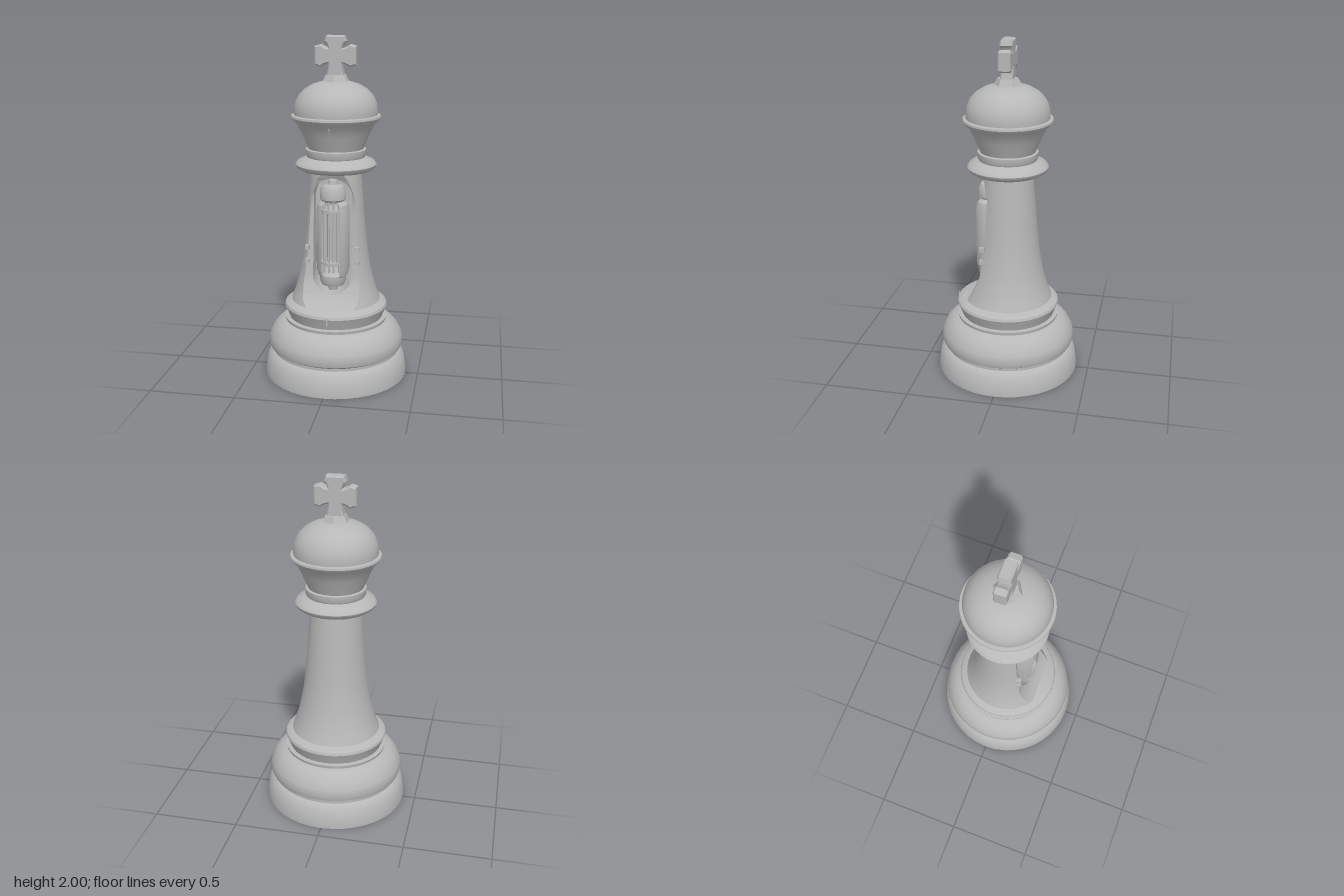
import * as THREE from 'three';
import { toCreasedNormals } from 'three/addons/utils/BufferGeometryUtils.js';

const grey = new THREE.MeshStandardMaterial({ color: 0xb8b8b8, side: THREE.DoubleSide });
grey.name = 'stone grey';

function add(parent, name, geo, x = 0, y = 0, z = 0) {
  const m = new THREE.Mesh(geo, grey);
  m.name = name;
  m.position.set(x, y, z);
  parent.add(m);
  return m;
}

// points are [radius, height], bottom to top
function lathe(points, segments = 40, crease = 0.6, start = 0, length = Math.PI * 2) {
  const g = new THREE.LatheGeometry(points.map(p => new THREE.Vector2(p[0], p[1])), segments, start, length);
  return toCreasedNormals(g, crease);
}

// piecewise linear lookup in [y, value] pairs
function lookup(table, y) {
  for (let i = 1; i < table.length; i++) {
    const [y0, a] = table[i - 1], [y1, b] = table[i];
    if (y <= y1) return a + (b - a) * Math.max(0, (y - y0) / (y1 - y0));
  }
  return table[table.length - 1][1];
}

const RADIUS = [[0.45, 0.267], [0.53, 0.238], [0.6, 0.218], [0.7, 0.197], [0.8, 0.184], [0.9, 0.174], [1.0, 0.166], [1.1, 0.158], [1.25, 0.146]];
const PANEL = [[0.45, 0.13], [0.5, 0.165], [0.6, 0.165], [0.75, 0.145], [0.9, 0.138], [1.1, 0.125], [1.2, 0.09], [1.25, 0.05]];

// Tapered shaft with a flattened front panel and a stadium-shaped niche
function shaftGeometry() {
  const half = 0.113, bottom = 0.53, top = 1.21, floorZ = 0.03, around = 36;
  const rows = [[0.45, 0, false], [0.49, 0, false], [bottom, 0, false]];
  for (let i = 0; i <= 6; i++) {
    const a = i / 6 * Math.PI / 2;
    rows.push([bottom + half * (1 - Math.cos(a)), half * Math.sin(a), true]);
  }
  for (const y of [0.72, 0.8, 0.9, 1.0]) rows.push([y, half, true]);
  for (let i = 6; i >= 0; i--) {
    const a = i / 6 * Math.PI / 2;
    rows.push([top - half * (1 - Math.cos(a)), half * Math.sin(a), true]);
  }
  rows.push([top, 0, false], [1.25, 0, false]);

  const pos = [], index = [], n = around + 5;
  for (const [y, w, open] of rows) {
    const r = lookup(RADIUS, y), edge = Math.asin(lookup(PANEL, y) / r);
    for (let i = 0; i <= around; i++) {
      const t = edge + (Math.PI * 2 - edge * 2) * i / around;
      pos.push(r * Math.sin(t), y, r * Math.cos(t));
    }
    const panelZ = r * Math.cos(edge) - 0.004, back = open ? floorZ : panelZ;
    pos.push(-w, y, panelZ, -w, y, back, w, y, back, w, y, panelZ);
  }
  for (let j = 0; j < rows.length - 1; j++) {
    for (let i = 0; i < n; i++) {
      const a = j * n + i, b = j * n + (i + 1) % n;
      index.push(a, b, b + n, a, b + n, a + n);
    }
  }
  const g = new THREE.BufferGeometry();
  g.setAttribute('position', new THREE.Float32BufferAttribute(pos, 3));
  g.setIndex(index);
  return toCreasedNormals(g, 0.5);
}

// Cross with arms that widen towards their ends
function crossGeometry() {
  const s = new THREE.Shape();
  const b = 0.008;
  s.moveTo(-0.045, -0.13);
  s.lineTo(0.045, -0.13);
  s.quadraticCurveTo(0.028, -0.07, 0.032, -0.035);
  s.quadraticCurveTo(0.06, -0.035, 0.085, -0.055);
  s.lineTo(0.11, -0.045);
  s.lineTo(0.11, 0.045);
  s.lineTo(0.085, 0.052);
  s.quadraticCurveTo(0.06, 0.032, 0.032, 0.032);
  s.quadraticCurveTo(0.032, 0.06, 0.052, 0.08);
  s.lineTo(0.045, 0.102);
  s.lineTo(-0.045, 0.102);
  s.lineTo(-0.052, 0.08);
  s.quadraticCurveTo(-0.032, 0.06, -0.032, 0.032);
  s.quadraticCurveTo(-0.06, 0.032, -0.085, 0.052);
  s.lineTo(-0.11, 0.045);
  s.lineTo(-0.11, -0.045);
  s.lineTo(-0.085, -0.055);
  s.quadraticCurveTo(-0.06, -0.035, -0.032, -0.035);
  s.quadraticCurveTo(-0.028, -0.07, -0.045, -0.13);
  const g = new THREE.ExtrudeGeometry(s, { depth: 0.056, bevelThickness: b, bevelSize: b, bevelSegments: 1, curveSegments: 5 });
  g.translate(0, 0, -0.028);
  return toCreasedNormals(g, 0.5);
}

// Vacuum tube standing in the niche, open at the front to show its rods
function makeTube() {
  const tube = new THREE.Group();
  tube.name = 'tube';
  tube.position.z = 0.1;
  const gap = 0.6;
  add(tube, 'tubeShell', lathe([[0.06, 0.62], [0.085, 0.64], [0.095, 0.68], [0.095, 1.02], [0.085, 1.06], [0.06, 1.08]],
    24, 0.6, gap, Math.PI * 2 - gap * 2));
  add(tube, 'lowerCap', lathe([[0, 0.54], [0.025, 0.545], [0.03, 0.57], [0.065, 0.58], [0.076, 0.605], [0.076, 0.64], [0.06, 0.66], [0, 0.66]], 20));
  add(tube, 'upperCap', lathe([[0, 1.075], [0.06, 1.075], [0.074, 1.09], [0.074, 1.14], [0.06, 1.165], [0.03, 1.175], [0.025, 1.2], [0, 1.205]], 20));
  for (const y of [0.715, 1.025]) add(tube, 'spacerDisc', new THREE.CylinderGeometry(0.068, 0.068, 0.016, 20), 0, y, 0.01);
  for (const side of [-1, 1]) {
    add(tube, 'innerRod', new THREE.CylinderGeometry(0.013, 0.013, 0.3, 10), side * 0.038, 0.87, 0.045);
    add(tube, 'thinWire', new THREE.CylinderGeometry(0.006, 0.006, 0.42, 8), side * 0.014, 0.87, 0.06);
    add(tube, 'supportPin', new THREE.CylinderGeometry(0.008, 0.008, 0.08, 8), side * 0.045, 0.69, 0.04);
    add(tube, 'supportPin', new THREE.CylinderGeometry(0.008, 0.008, 0.08, 8), side * 0.045, 1.05, 0.04);
  }
  add(tube, 'corePlate', new THREE.BoxGeometry(0.06, 0.3, 0.03), 0, 0.87, 0.01);
  return tube;
}

export function createModel() {
  const model = new THREE.Group();
  model.name = 'chessKing';

  add(model, 'base', lathe([[0, 0], [0.425, 0], [0.425, 0.025], [0.41, 0.11], [0.385, 0.14], [0.375, 0.145], [0.375, 0.162],
    [0.394, 0.175], [0.402, 0.205], [0.395, 0.245], [0.37, 0.29], [0.335, 0.325], [0.3, 0.337], [0.303, 0.355], [0.275, 0.358], [0, 0.358]]));
  add(model, 'shaftFlange', lathe([[0, 0.35], [0.275, 0.35], [0.282, 0.37], [0.305, 0.425], [0.3, 0.44], [0.265, 0.462], [0, 0.462]]));
  add(model, 'shaft', shaftGeometry());
  model.add(makeTube());

  add(model, 'collarRing', lathe([[0, 1.238], [0.15, 1.238], [0.205, 1.243], [0.228, 1.258], [0.234, 1.275], [0.222, 1.293],
    [0.19, 1.307], [0.168, 1.318], [0.174, 1.33], [0.174, 1.362], [0.15, 1.368], [0, 1.368]], 40, 0.8));
  add(model, 'crown', lathe([[0, 1.36], [0.158, 1.362], [0.168, 1.385], [0.195, 1.45], [0.222, 1.505], [0.25, 1.532], [0.258, 1.545],
    [0.256, 1.556], [0.238, 1.56], [0, 1.56]]));
  add(model, 'dome', lathe([[0.238, 1.555], [0.24, 1.585], [0.233, 1.625], [0.213, 1.667], [0.18, 1.702], [0.135, 1.729], [0.08, 1.746], [0, 1.752]]));

  // Hexagonal foot and cross
  add(model, 'crossFoot', toCreasedNormals(new THREE.CylinderGeometry(0.06, 0.085, 0.045, 6), 0.3), 0, 1.76, 0);
  add(model, 'cross', crossGeometry(), 0, 1.89, 0);

  // Clips along the niche edges, and seams on the front centre line
  for (const side of [-1, 1]) {
    for (const y of [0.72, 0.8]) {
      add(model, 'edgeClip', new THREE.BoxGeometry(0.025, 0.025, 0.03), side * 0.145, y, 0.125);
    }
  }
  add(model, 'flangeSeam', new THREE.BoxGeometry(0.008, 0.05, 0.02), 0, 0.415, 0.297);
  const seam = add(model, 'crownSeam', new THREE.BoxGeometry(0.008, 0.13, 0.012), 0, 1.445, 0.193);
  seam.rotation.x = 0.41;
  return model;
}
